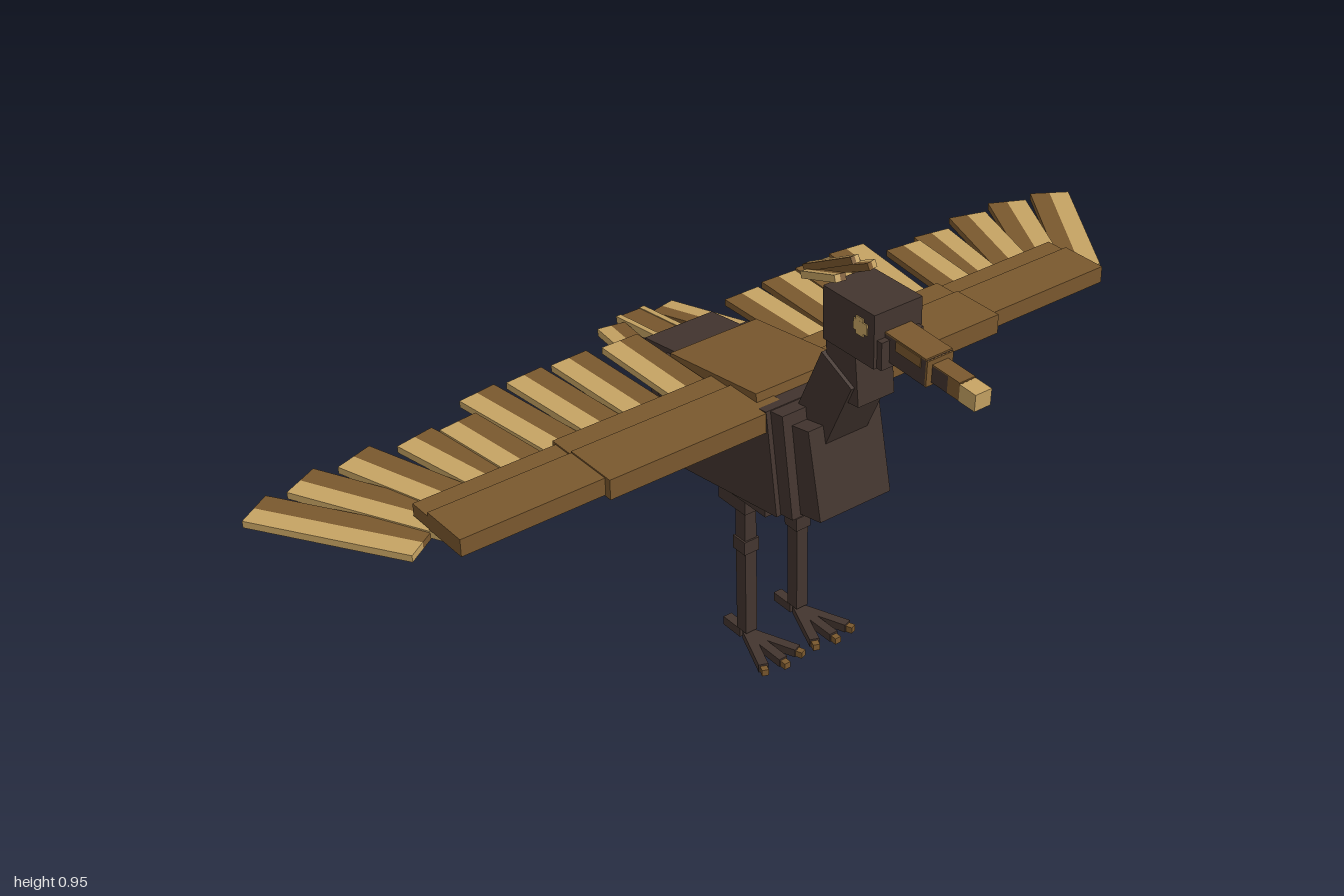
import * as THREE from 'three';

export function createModel() {
  const model = new THREE.Group();
  model.name = 'longLeggedBird';

  const mat = (name, color) => {
    const m = new THREE.MeshStandardMaterial({ color });
    m.name = name;
    return m;
  };
  const dark = mat('darkBrown', 0x43352f);
  const brown = mat('brown', 0x7a582e);
  const tan = mat('tan', 0xc6a363);

  // Box with centre, size, pitch about x and yaw about y
  function box(name, material, [x, y, z], [w, h, d], pitch = 0, yaw = 0, parent = model) {
    const mesh = new THREE.Mesh(new THREE.BoxGeometry(w, h, d), material);
    mesh.name = name;
    mesh.position.set(x, y, z);
    mesh.rotation.set(pitch, yaw, 0, 'YXZ');
    parent.add(mesh);
    return mesh;
  }

  // Feather: tan outer half beside a brown inner half, s is the side
  function feather(name, s, [x, y, z], width, thick, length, pitch = 0, yaw = 0) {
    const g = new THREE.Group();
    g.name = name;
    g.position.set(x * s, y, z);
    g.rotation.set(pitch, yaw * s, 0, 'YXZ');
    box('outerVane', tan, [s * width / 4, 0, 0], [width / 2, thick, length], 0, 0, g);
    box('innerVane', brown, [-s * width / 4, 0, 0], [width / 2, thick, length], 0, 0, g);
    model.add(g);
  }

  // Body, sloping down towards the tail
  const slope = -0.137;
  box('body', dark, [0, 0.488, -0.09], [0.23, 0.22, 0.353], slope);
  box('breast', dark, [0, 0.493, -0.055], [0.21, 0.216, 0.353], slope);
  box('chest', dark, [0, 0.508, 0.125], [0.17, 0.185, 0.1], -0.2);
  box('back', brown, [0, 0.607, -0.105], [0.21, 0.021, 0.27], slope);
  box('rump', dark, [0, 0.505, -0.275], [0.165, 0.155, 0.14], slope);

  // Tail
  box('tailFeatherMiddle', brown, [0, 0.533, -0.4], [0.066, 0.016, 0.245], -0.123);
  for (const s of [-1, 1]) {
    box('tailFeatherEdge', tan, [s * 0.029, 0.534, -0.4], [0.012, 0.018, 0.246], -0.123);
    feather('tailFeatherSide', s, [0.086, 0.533, -0.39], 0.06, 0.016, 0.225, -0.123, 0.2);
  }

  // Neck and head
  box('lowerNeck', dark, [0, 0.661, 0.153], [0.1, 0.18, 0.093], 0.435);
  box('upperNeck', dark, [0, 0.765, 0.195], [0.085, 0.165, 0.082], -0.1);
  box('head', dark, [0, 0.851, 0.228], [0.11, 0.108, 0.139]);
  box('face', dark, [0, 0.825, 0.24], [0.096, 0.056, 0.14]);

  // Beak with a painted ridge
  const beakTilt = 0.05;
  box('beakBase', dark, [0, 0.832, 0.35], [0.06, 0.052, 0.11], beakTilt);
  box('beakRidge', brown, [0, 0.8595, 0.35], [0.06, 0.004, 0.11], beakTilt);
  box('beakFront', brown, [0, 0.829, 0.4055], [0.06, 0.052, 0.004], beakTilt);
  box('beakMiddle', dark, [0, 0.825, 0.425], [0.036, 0.034, 0.045], beakTilt);
  box('beakMiddleRidge', brown, [0, 0.842, 0.44], [0.036, 0.003, 0.075], beakTilt);
  box('beakBand', brown, [0, 0.823, 0.46], [0.036, 0.034, 0.036], beakTilt);
  box('beakTip', tan, [0, 0.821, 0.498], [0.037, 0.034, 0.04], beakTilt);

  for (const s of [-1, 1]) {
    box('beakSpot', brown, [s * 0.0305, 0.848, 0.36], [0.003, 0.02, 0.065], beakTilt);
    // Eye made of two crossed plates
    box('eye', tan, [s * 0.0555, 0.868, 0.262], [0.004, 0.022, 0.036]);
    box('eyeCross', tan, [s * 0.0555, 0.868, 0.26], [0.0036, 0.036, 0.02]);
    feather('crestSide', s, [0.024, 0.897, 0.12], 0.022, 0.014, 0.14, -0.4, 0.2);
  }
  feather('crestMiddle', 1, [0, 0.911, 0.113], 0.018, 0.014, 0.152, -0.49);

  // Flight feathers: root x, root z, tip x, tip z, height
  const flight = [
    [0.15, -0.06, 0.15, -0.345, 0.588],
    [0.245, -0.06, 0.258, -0.362, 0.582],
    [0.33, -0.06, 0.355, -0.372, 0.576],
    [0.415, -0.06, 0.455, -0.382, 0.57],
    [0.515, -0.04, 0.545, -0.305, 0.58],
    [0.58, -0.04, 0.632, -0.315, 0.576],
    [0.655, -0.04, 0.75, -0.332, 0.573],
    [0.715, -0.04, 0.862, -0.328, 0.57],
    [0.79, -0.03, 0.967, -0.305, 0.567],
  ];
  for (const s of [-1, 1]) {
    // Wing arm and coverts
    box('innerWing', brown, [s * 0.265, 0.597, 0.01], [0.4, 0.042, 0.12]);
    box('outerWing', brown, [s * 0.5, 0.597, 0.0025], [0.53, 0.036, 0.105]);
    box('innerCoverts', brown, [s * 0.265, 0.596, -0.08], [0.4, 0.028, 0.06]);
    box('outerCoverts', brown, [s * 0.6125, 0.594, -0.075], [0.305, 0.026, 0.05]);
    for (const [rx, rz, tx, tz, y] of flight) {
      const length = Math.hypot(tx - rx, tz - rz);
      feather('flightFeather', s, [(rx + tx) / 2, y, (rz + tz) / 2], 0.084, 0.014, length,
        0, -Math.atan2(tx - rx, rz - tz));
    }

    // Legs
    const x = s * 0.065;
    box('hip', dark, [x, 0.41, -0.03], [0.08, 0.075, 0.165]);
    box('thigh', dark, [x, 0.37, -0.0615], [0.066, 0.07, 0.084]);
    box('shin', dark, [x, 0.19, -0.06], [0.028, 0.33, 0.03]);
    box('knee', dark, [x, 0.236, -0.06], [0.036, 0.03, 0.037]);

    // Feet: three splayed toes and a hind toe
    for (const a of [-0.38, 0, 0.38]) {
      const toe = new THREE.Group();
      toe.name = 'frontToe';
      toe.position.set(x, 0.01, -0.06);
      toe.rotation.y = a;
      box('toe', dark, [0, 0, 0.058], [0.02, 0.018, 0.116], 0, 0, toe);
      box('claw', brown, [0, -0.002, 0.123], [0.014, 0.014, 0.014], 0, 0, toe);
      model.add(toe);
    }
    box('hindToe', dark, [x, 0.01, -0.098], [0.02, 0.02, 0.054]);
  }
  return model;
}
